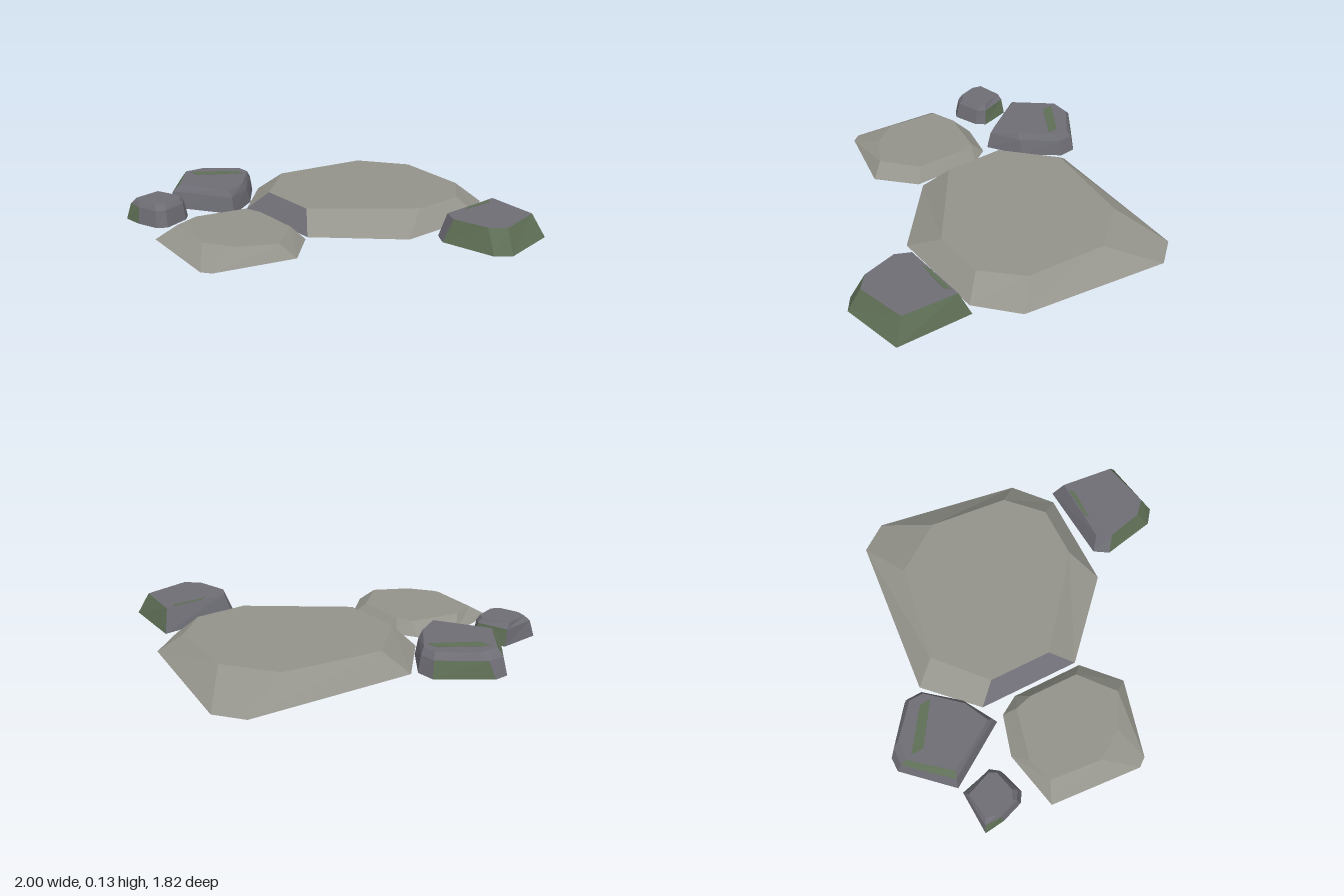
import * as THREE from 'three';

const mat = (name, color) => {
  const m = new THREE.MeshStandardMaterial({ color });
  m.name = name;
  m.flatShading = true;
  return m;
};

// Faceted stone: base and top outlines joined by sides, with an optional shoulder ring.
// moss lists the painted faces: 's1' is side 1, 'b6' is bevel 6, 'base' is the underside.
function stone({ name, height, base, top, shoulder, paint = [] }, materials) {
  const at = (p, y) => [p[0], y, p[1]];
  const n = base.length;
  const rings = [base.map(p => at(p, 0))];
  if (shoulder) {
    const [lift, inset] = shoulder;
    rings.push(base.map((p, i) => at(p.map((v, k) => v + (top[i][k] - v) * inset), height * lift)));
  }
  rings.push(top.map(p => at(p, height)));

  const faces = [[], []];
  const add = (key, ...pts) => faces[paint.includes(key) ? 1 : 0].push(...pts.flat());
  for (let r = 0; r < rings.length - 1; r++) {
    for (let i = 0; i < n; i++) {
      const j = (i + 1) % n, lo = rings[r], hi = rings[r + 1];
      add('sb'[r] + i, lo[j], lo[i], hi[i], lo[j], hi[i], hi[j]);
    }
  }
  // Top and underside as fans about their centres
  const cap = (ring, key, up) => {
    const c = [0, 1, 2].map(k => ring.reduce((s, p) => s + p[k], 0) / n);
    ring.forEach((p, i) => {
      const q = ring[(i + 1) % n];
      add(key, c, up ? q : p, up ? p : q);
    });
  };
  cap(rings[0], 'base', false);
  cap(rings[rings.length - 1], 'top', true);

  const g = new THREE.BufferGeometry();
  g.setAttribute('position', new THREE.Float32BufferAttribute(faces.flat(), 3));
  g.addGroup(0, faces[0].length / 3, 0);
  if (faces[1].length) g.addGroup(faces[0].length / 3, faces[1].length / 3, 1);
  g.computeVertexNormals();
  const mesh = new THREE.Mesh(g, materials);
  mesh.name = name;
  return mesh;
}

// Thin moss patch lying on a flat top
function patch(name, y, pts, material) {
  const shape = new THREE.Shape(pts.map(([x, z]) => new THREE.Vector2(x, -z)));
  const g = new THREE.ExtrudeGeometry(shape, { depth: 0.002, bevelEnabled: false });
  g.rotateX(-Math.PI / 2);
  const mesh = new THREE.Mesh(g, material);
  mesh.position.y = y;
  mesh.name = name;
  return mesh;
}

export function createModel() {
  const group = new THREE.Group();
  group.name = 'steppingStones';
  const pale = mat('paleStone', 0x94948c);
  const dark = mat('darkStone', 0x6f6e76);
  const moss = mat('moss', 0x5f6f56);

  // Pale flat slabs
  group.add(stone({
    name: 'largeSlab', height: 0.11, paint: ['s6'],
    base: [[-.12, -.68], [.80, -.82], [.94, -.70], [1, .13], [.84, .35], [.29, .48], [-.19, .21], [-.32, -.36]],
    top: [[0, -.58], [.56, -.62], [.81, -.40], [.87, .05], [.73, .27], [.44, .34], [-.13, .07], [-.21, -.28]],
  }, [pale, dark]));
  group.add(stone({
    name: 'mediumSlab', height: 0.07,
    base: [[-.94, -.12], [-.63, -.27], [-.39, -.26], [-.30, -.17], [-.21, .23], [-.36, .45], [-.81, .44], [-.86, .40]],
    top: [[-.82, -.10], [-.69, -.18], [-.39, -.18], [-.34, -.09], [-.28, .19], [-.43, .39], [-.64, .33], [-.78, .20]],
  }, [pale, moss]));

  // Dark mossy rocks
  group.add(stone({
    name: 'backRock', height: 0.13, shoulder: [0.72, 0.45], paint: ['s1', 'b6', 'base'],
    base: [[-.56, -.89], [-.48, -.91], [-.19, -.78], [-.16, -.68], [-.26, -.46], [-.42, -.30], [-.73, -.59]],
    top: [[-.54, -.82], [-.42, -.84], [-.22, -.74], [-.20, -.66], [-.31, -.45], [-.43, -.35], [-.66, -.58]],
  }, [dark, moss]));
  group.add(stone({
    name: 'frontRock', height: 0.13, paint: ['s1', 's2', 's3', 's4'],
    base: [[.46, .50], [.90, .36], [.97, .77], [.65, .91], [.56, .87], [.43, .59]],
    top: [[.50, .52], [.87, .42], [.91, .72], [.66, .84], [.57, .79], [.48, .61]],
  }, [dark, moss]));
  group.add(stone({
    name: 'smallRock', height: 0.125, shoulder: [0.75, 0.45], paint: ['s1', 's6', 'base'],
    base: [[-1, -.50], [-.76, -.57], [-.67, -.40], [-.70, -.34], [-.83, -.26], [-.89, -.28], [-.96, -.39]],
    top: [[-.94, -.48], [-.80, -.54], [-.71, -.41], [-.72, -.37], [-.83, -.31], [-.88, -.32], [-.94, -.42]],
  }, [dark, moss]));

  // Moss patches
  group.add(patch('backRockMoss', 0.13, [[-.52, -.79], [-.26, -.69], [-.24, -.63], [-.50, -.72]], moss));
  group.add(patch('frontRockMoss', 0.13, [[.65, .485], [.83, .44], [.81, .47], [.62, .51]], moss));
  return group;
}
